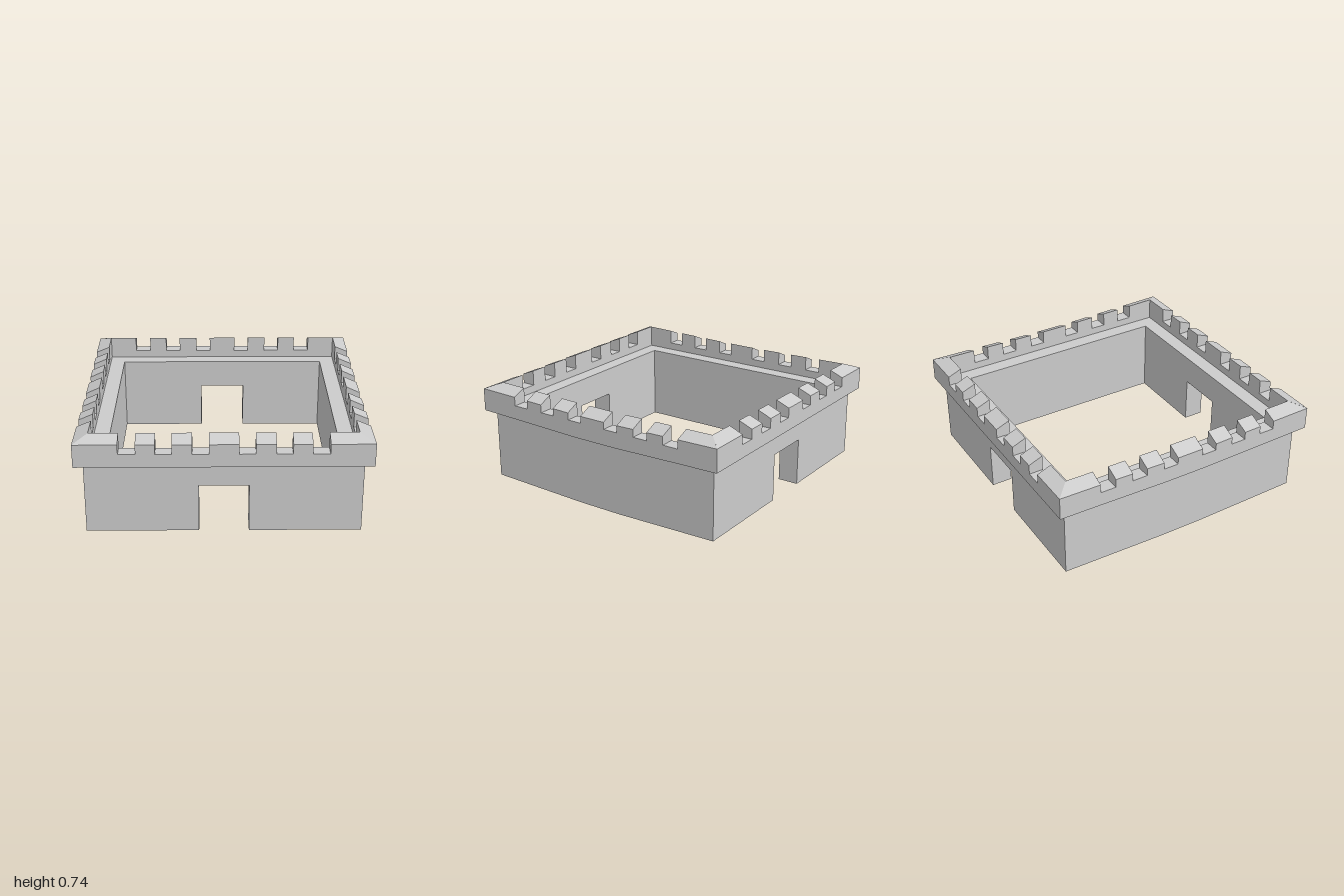
import * as THREE from 'three';

// Distances from the centre
const BAND = 1, LIP = 0.9, WALL = 0.94, INNER = 0.79;
// Heights
const FOOT = 0.02, GATE_TOP = 0.365, BAND_LOW = 0.535, WALK = 0.575, CRENEL = 0.63;
const MERLON_OUT = 0.70, MERLON_IN = 0.74;
const GATE = 0.17; // half width

const half = [0.1, 0.21, 0.345, 0.455, 0.585, 0.7, 1];
const steps = [...half.map(v => -v).reverse(), ...half];

const material = new THREE.MeshStandardMaterial({ color: 0xcccccc, flatShading: true, side: THREE.DoubleSide });

// Mesh made of four-cornered faces, corners counter-clockwise as [along, height, outward]
function quadMesh(name, quads) {
  const pos = [];
  for (const [a, b, c, d] of quads) pos.push(...a, ...b, ...c, ...a, ...c, ...d);
  const g = new THREE.BufferGeometry();
  g.setAttribute('position', new THREE.Float32BufferAttribute(pos, 3));
  g.computeVertexNormals();
  const mesh = new THREE.Mesh(g, material);
  mesh.name = name;
  return mesh;
}

// Face between two edges, each given as [height function, outward distance]
function face(u0, u1, [yA, dA], [yB, dB]) {
  const p = (u, y, d) => {
    const v = THREE.MathUtils.clamp(u, -d, d); // mitre at the corners
    return [v, typeof y === 'function' ? y(v) : y, d];
  };
  return [p(u0, yA, dA), p(u1, yA, dA), p(u1, yB, dB), p(u0, yB, dB)];
}

function createSide(name, gated) {
  const side = new THREE.Group();
  side.name = name;
  // Sides without a gate sag slightly towards the middle
  const sag = u => gated ? 0 : 0.02 * THREE.MathUtils.clamp((WALL - Math.abs(u)) / (WALL - GATE), 0, 1);
  const low = u => BAND_LOW - sag(u);
  const topOut = u => MERLON_OUT - sag(u);
  const topIn = u => MERLON_IN - 0.7 * sag(u);

  // Walls, open underneath
  const outer = [], inner = [];
  const cuts = [-WALL, -GATE, GATE, WALL];
  for (let i = 0; i < 3; i++) {
    const gate = gated && i === 1;
    const foot = gate ? GATE_TOP : u => FOOT - sag(u);
    outer.push(face(cuts[i], cuts[i + 1], [foot, WALL], [low, WALL]));
    inner.push(face(cuts[i + 1], cuts[i], [gate ? GATE_TOP : FOOT, INNER], [WALK, INNER]));
  }
  side.add(quadMesh('outerWall', outer), quadMesh('innerWall', inner));

  // Gateway jambs and ceiling
  if (gated) {
    const jamb = (u, dA, dB) => [[u, FOOT, dA], [u, FOOT, dB], [u, GATE_TOP, dB], [u, GATE_TOP, dA]];
    side.add(quadMesh('gateway', [
      jamb(-GATE, WALL, INNER),
      jamb(GATE, INNER, WALL),
      face(-GATE, GATE, [GATE_TOP, INNER], [GATE_TOP, WALL]),
    ]));
  }

  // Walkway behind the parapet
  side.add(quadMesh('walkway', [face(-1, 1, [WALK, LIP], [WALK, INNER])]));

  // Battlements: merlons alternate with gaps
  const parapet = [], merlons = [];
  for (let i = 0; i < steps.length - 1; i++) {
    const u0 = steps[i], u1 = steps[i + 1];
    parapet.push(
      face(u0, u1, [low, BAND], [CRENEL, BAND]),
      face(u1, u0, [WALK, LIP], [CRENEL, LIP]),
      face(u0, u1, [low, WALL], [low, BAND]),
    );
    if (i % 2) {
      parapet.push(face(u0, u1, [CRENEL, BAND], [CRENEL, LIP]));
      continue;
    }
    merlons.push(
      face(u0, u1, [CRENEL, BAND], [topOut, BAND]),
      face(u1, u0, [CRENEL, LIP], [topIn, LIP]),
      face(u0, u1, [topOut, BAND], [topIn, LIP]),
    );
    const end = u => [[u, CRENEL, BAND], [u, CRENEL, LIP], [u, topIn(u), LIP], [u, topOut(u), BAND]];
    if (u1 < BAND) merlons.push(end(u1));
    if (u0 > -BAND) merlons.push(end(u0).reverse());
  }
  side.add(quadMesh('parapet', parapet), quadMesh('merlons', merlons));
  return side;
}

export function createModel() {
  const model = new THREE.Group();
  model.name = 'castleWalls';
  ['frontSide', 'leftSide', 'backSide', 'rightSide'].forEach((name, k) => {
    const side = createSide(name, k % 2 === 0);
    side.rotation.y = k * Math.PI / 2;
    model.add(side);
  });
  return model;
}
